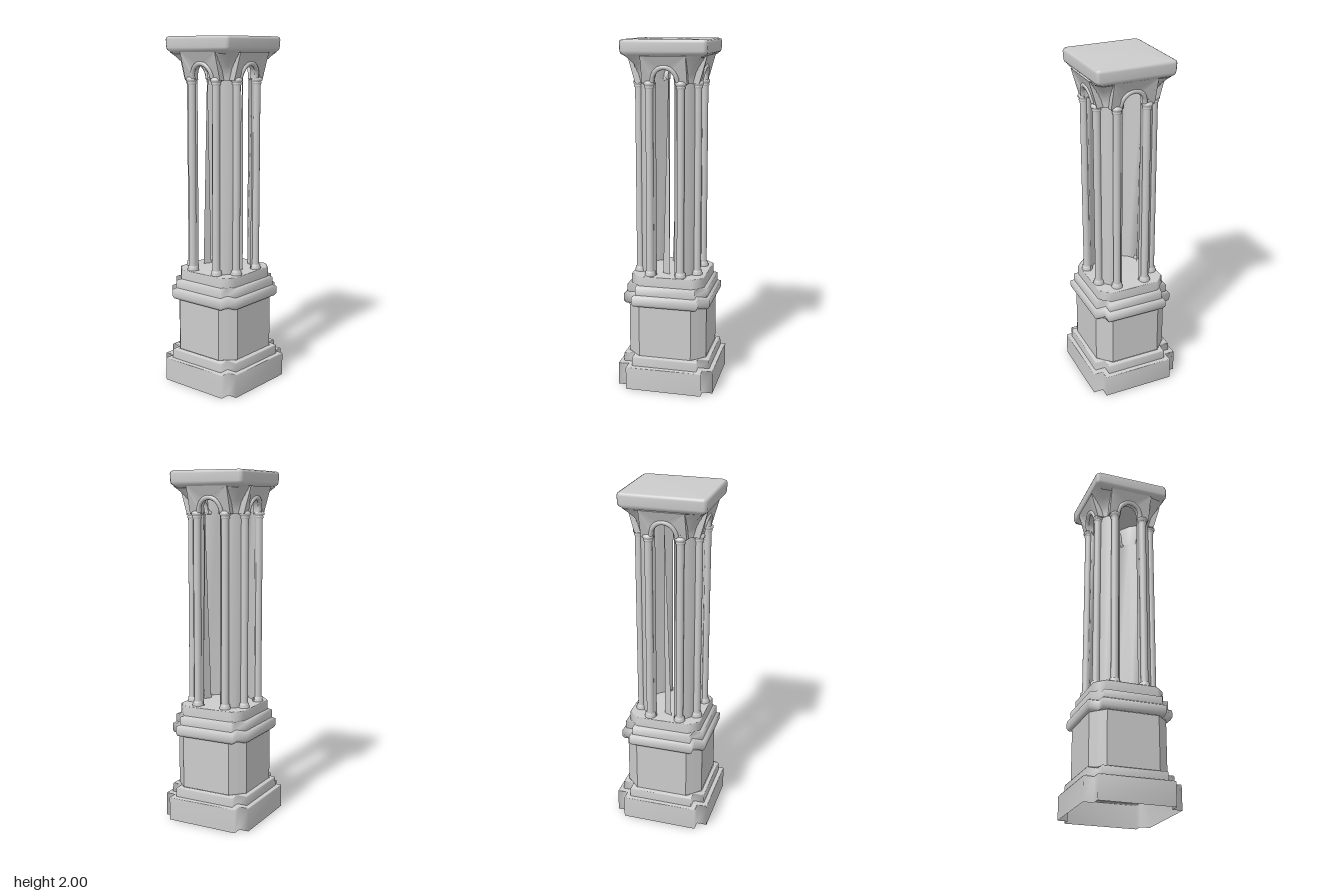
import * as THREE from 'three';
import { mergeVertices } from 'three/addons/utils/BufferGeometryUtils.js';

const stone = new THREE.MeshStandardMaterial({ color: 0xcccccc, side: THREE.DoubleSide });
stone.name = 'pale stone';

// Smooth skin between closed outlines of [x, y, z] points, optionally closed at the top
function loft(rings, topY) {
  const pos = [];
  const n = rings[0].length;
  for (let k = 0; k < rings.length - 1; k++) {
    for (let i = 0; i < n; i++) {
      const j = (i + 1) % n;
      const a = rings[k][i], b = rings[k][j], c = rings[k + 1][i], d = rings[k + 1][j];
      pos.push(...a, ...c, ...b, ...b, ...c, ...d);
    }
  }
  if (topY !== undefined) {
    const top = rings[rings.length - 1];
    for (let i = 0; i < n; i++) pos.push(0, topY, 0, ...top[(i + 1) % n], ...top[i]);
  }
  const g = new THREE.BufferGeometry();
  g.setAttribute('position', new THREE.Float32BufferAttribute(pos, 3));
  const smooth = mergeVertices(g);
  smooth.computeVertexNormals();
  return smooth;
}

// Square plan with worked corners: R reach, A half-width of each face, C corner point
function plan([y, R, A, C = A]) {
  const ring = [];
  for (let q = 0; q < 4; q++) {
    for (let [x, z] of [[R, A], [C, C], [A, R]]) {
      for (let i = 0; i < q; i++) [x, z] = [-z, x];
      ring.push([x, y, z]);
    }
  }
  return ring;
}

// Corner pier plan: o is the face distance, k the diagonal corner
function cornerPlan(y, o, k) {
  return [[o, 0.052], [o, 0.095], [k, k], [0.095, o], [0.052, o], [0.115, 0.115]].map(([x, z]) => [x, y, z]);
}

function add(parent, name, geometry, x = 0, y = 0, z = 0) {
  const m = new THREE.Mesh(geometry, stone);
  m.name = name;
  m.position.set(x, y, z);
  parent.add(m);
  return m;
}

export function createModel() {
  const model = new THREE.Group();
  model.name = 'columnMonument';

  // Hollow stepped pedestal, open underneath
  const stepped = [
    ['plinth', [[0, 0.275, 0.217], [0.132, 0.275, 0.217], [0.137, 0.272, 0.214], [0.138, 0.25, 0.187]]],
    ['plinthStep', [[0.138, 0.25, 0.187], [0.186, 0.248, 0.187], [0.191, 0.245, 0.184], [0.195, 0.226, 0.152, 0.187]]],
    ['cornice', [[0.5, 0.226, 0.152, 0.187], [0.5, 0.238, 0.18], [0.515, 0.247, 0.187],
      [0.555, 0.247, 0.187], [0.565, 0.23, 0.17]]],
    ['upperStep', [[0.565, 0.23, 0.17], [0.61, 0.23, 0.17], [0.617, 0.21, 0.15, 0.18]]],
    ['columnPlatform', [[0.617, 0.21, 0.15, 0.18], [0.67, 0.208, 0.15, 0.18], [0.675, 0.204, 0.147, 0.176]], 0.675],
  ];
  for (const [name, levels, top] of stepped) {
    add(model, name, loft(levels.map(plan), top)).scale.set(1.02, 1, 0.98);
  }

  // Pedestal shaft: four flat panels with crisp edges between chamfered corner piers
  const shaftGeo = loft([0.195, 0.5].map((y) => plan([y, 0.226, 0.15, 0.189]))).toNonIndexed();
  shaftGeo.computeVertexNormals();
  add(model, 'pedestalShaft', shaftGeo).scale.set(1.01, 1, 0.98);

  // Arcade and cap sit slightly off centre
  const upper = new THREE.Group();
  upper.name = 'upperStage';
  upper.position.x = -0.008;
  model.add(upper);

  // Turned column with base mouldings and capital ring
  const profile = [[0.032, 0.67], [0.032, 0.683], [0.028, 0.69], [0.029, 0.698], [0.021, 0.704],
    [0.021, 1.732], [0.026, 1.738], [0.026, 1.744], [0.023, 1.748], [0.031, 1.755], [0.031, 1.766], [0.02, 1.775]];
  const columnGeo = new THREE.LatheGeometry(profile.map(([r, y]) => new THREE.Vector2(r, y)), 16);

  // Pier behind each pair of columns, and the flared corner above it
  const pierGeo = loft([cornerPlan(0.67, 0.16, 0.128), cornerPlan(1.765, 0.16, 0.128)]);
  const flare = [];
  for (let i = 0; i <= 6; i++) {
    const t = i / 6;
    flare.push(cornerPlan(1.76 + 0.15 * t, 0.178 + 0.042 * t * t, 0.134 + 0.078 * t * t));
  }
  const flareGeo = loft(flare);

  // Arched wall leaning out towards the cap
  const arch = new THREE.Shape();
  arch.moveTo(-0.125, 1.76);
  arch.lineTo(-0.06, 1.76);
  arch.absellipse(0, 1.777, 0.06, 0.068, Math.PI, 0, true);
  arch.lineTo(0.06, 1.76);
  arch.lineTo(0.125, 1.76);
  arch.lineTo(0.125, 1.91);
  arch.lineTo(-0.125, 1.91);
  const archGeo = new THREE.ExtrudeGeometry(arch, { depth: 0.035, bevelEnabled: false, curveSegments: 20 });
  const p = archGeo.attributes.position;
  for (let i = 0; i < p.count; i++) {
    const t = (p.getY(i) - 1.76) / 0.15;
    p.setZ(i, p.getZ(i) + 0.145 + 0.043 * t * t);
  }
  archGeo.computeVertexNormals();
  const rimGeo = new THREE.TorusGeometry(0.07, 0.012, 8, 24, Math.PI);

  // Four identical corners and sides
  for (let q = 0; q < 4; q++) {
    const side = new THREE.Group();
    side.name = 'arcadeSide' + (q + 1);
    side.rotation.y = q * Math.PI / 2;
    add(side, 'column', columnGeo, 0.168, 0, 0.088);
    add(side, 'column', columnGeo, 0.088, 0, 0.168);
    add(side, 'cornerPier', pierGeo);
    add(side, 'cornerFlare', flareGeo);
    add(side, 'archWall', archGeo);
    const rim = add(side, 'archRim', rimGeo, 0, 1.77, 0.179);
    rim.scale.y = 1.15;
    rim.rotation.x = 0.2;
    upper.add(side);
  }

  // Slender tapering slivers in the front and back arches
  for (const s of [1, -1]) {
    const g = new THREE.BufferGeometry();
    g.setAttribute('position', new THREE.Float32BufferAttribute(
      [-0.035, 0.675, 0.12 * s - 0.01, 0.01, 0.675, 0.12 * s + 0.01, 0.004, 1.86, 0.13 * s], 3));
    g.computeVertexNormals();
    add(model, 'sliver', g);
  }

  // Heavy cap slab with softened edges and a very shallow pyramid top
  const cap = [[1.895, 0.001, 0.001], [1.9, 0.205, 0.19, 0.198], [1.912, 0.222, 0.205, 0.214],
    [1.922, 0.234, 0.215, 0.225], [1.935, 0.237, 0.217, 0.228], [1.978, 0.239, 0.219, 0.23],
    [1.99, 0.235, 0.215, 0.226], [1.995, 0.225, 0.208, 0.217]];
  add(upper, 'capSlab', loft(cap.map(plan), 2)).scale.set(1.015, 1, 0.955);

  return model;
}
